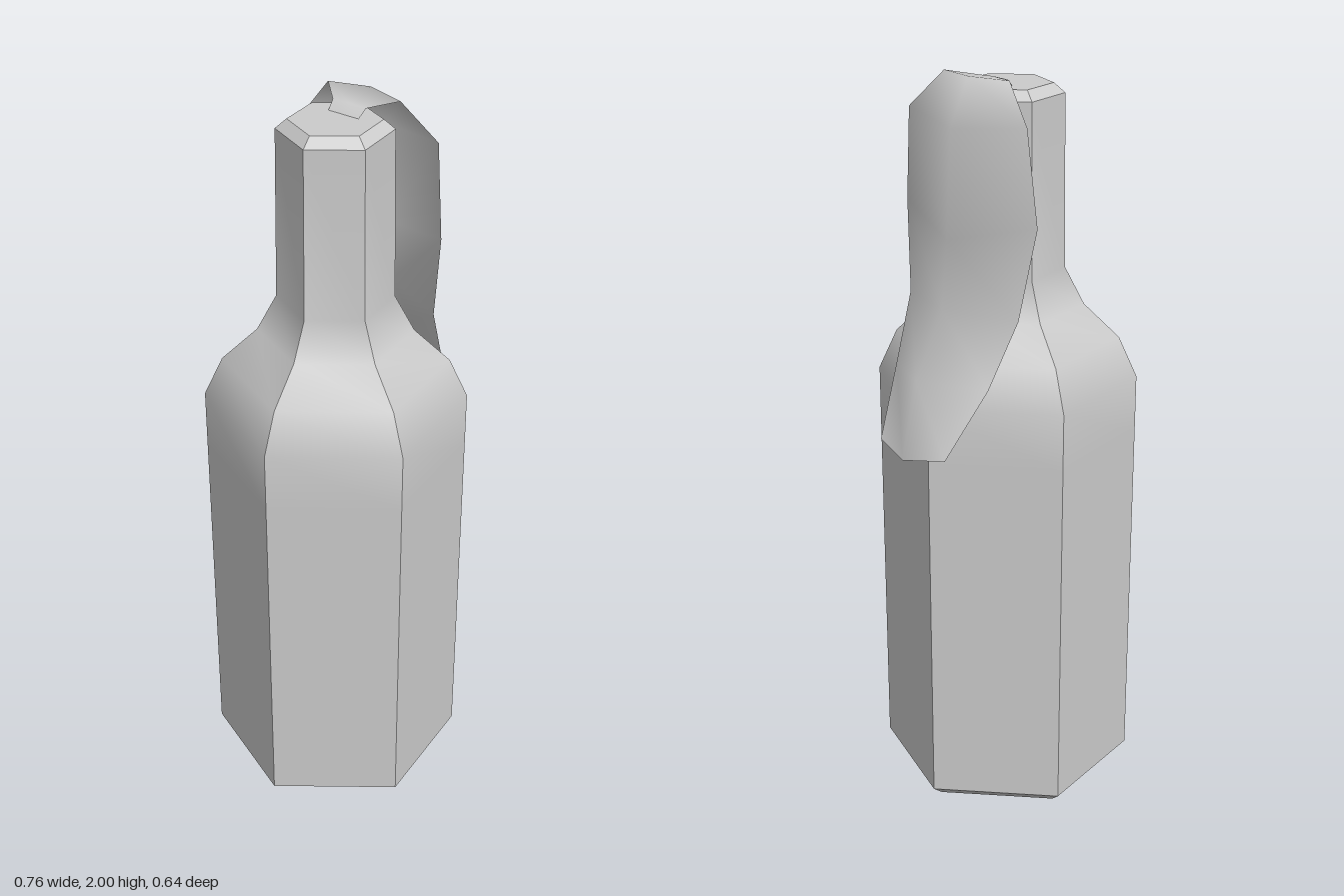
import * as THREE from 'three';

const TURN = -0.1;      // twist of the hexagon about the vertical axis
const CENTRE_X = -0.0325;

// Smooth surface through rows of points; front side = row direction x column direction
function grid(rows) {
  const cols = rows[0].length;
  const index = [];
  for (let r = 0; r < rows.length - 1; r++) {
    for (let c = 0; c < cols - 1; c++) {
      const a = r * cols + c, b = a + cols;
      index.push(a, b, b + 1, a, b + 1, a + 1);
    }
  }
  const geo = new THREE.BufferGeometry();
  geo.setAttribute('position', new THREE.Float32BufferAttribute(rows.flat(2), 3));
  geo.setIndex(index);
  geo.computeVertexNormals();
  return geo;
}

// Six hard-edged faces, each smooth along its profile of [radius, height]
function hexShell(name, profile, material) {
  const shell = new THREE.Group();
  shell.name = name;
  for (let i = 0; i < 6; i++) {
    const angles = [i, i + 1].map(k => TURN + k * Math.PI / 3);
    const rows = profile.map(([r, y]) => angles.map(a => [r * Math.cos(a), y, r * Math.sin(a)]));
    const face = new THREE.Mesh(grid(rows), material);
    face.name = name + 'Face';
    shell.add(face);
  }
  return shell;
}

// Flat hexagonal end, facing up (1) or down (-1)
function hexCap(name, radius, y, facing, material) {
  const geo = new THREE.CircleGeometry(radius, 6, -facing * TURN);
  geo.rotateX(-facing * Math.PI / 2);
  const cap = new THREE.Mesh(geo, material);
  cap.name = name;
  cap.position.y = y;
  return cap;
}

export function createModel() {
  const model = new THREE.Group();
  const grey = new THREE.MeshStandardMaterial({ color: 0xcccccc });
  const cloth = new THREE.MeshStandardMaterial({ color: 0xcccccc, side: THREE.DoubleSide });

  // Bottle: body, shoulder and neck, with chamfered base and rim
  const bottle = new THREE.Group();
  bottle.name = 'bottle';
  bottle.position.x = CENTRE_X;
  bottle.add(
    hexCap('base', 0.315, 0, -1, grey),
    hexShell('baseChamfer', [[0.315, 0], [0.35, 0.03]], grey),
    hexShell('body', [[0.35, 0.03], [0.35, 1.02], [0.35, 1.18], [0.3, 1.29],
      [0.205, 1.38], [0.153, 1.48], [0.147, 1.94]], grey),
    hexShell('rimChamfer', [[0.147, 1.94], [0.118, 1.965]], grey),
    hexCap('top', 0.118, 1.965, 1, grey)
  );
  model.add(bottle);

  // Rag draped from the mouth: [centre x, centre y, edge x, edge y, half width]
  const drape = [
    [-0.005, 1.96, -0.005, 1.96, 0.045],
    [0.025, 1.987, 0.025, 1.985, 0.05],
    [0.115, 2.0, 0.085, 1.998, 0.11],
    [0.182, 1.88, 0.122, 1.9, 0.2],
    [0.2, 1.6, 0.11, 1.65, 0.225],
    [0.22, 1.42, 0.14, 1.41, 0.19],
    [0.32, 1.25, 0.225, 1.24, 0.163],
    [0.375, 1.05, 0.338, 1.067, 0.115],
  ];
  const rag = new THREE.Mesh(grid(drape.map(([cx, cy, ex, ey, w]) =>
    [[ex, ey, w], [cx, cy, 0], [ex, ey, -w]])), cloth);
  rag.name = 'rag';
  model.add(rag);

  return model;
}
